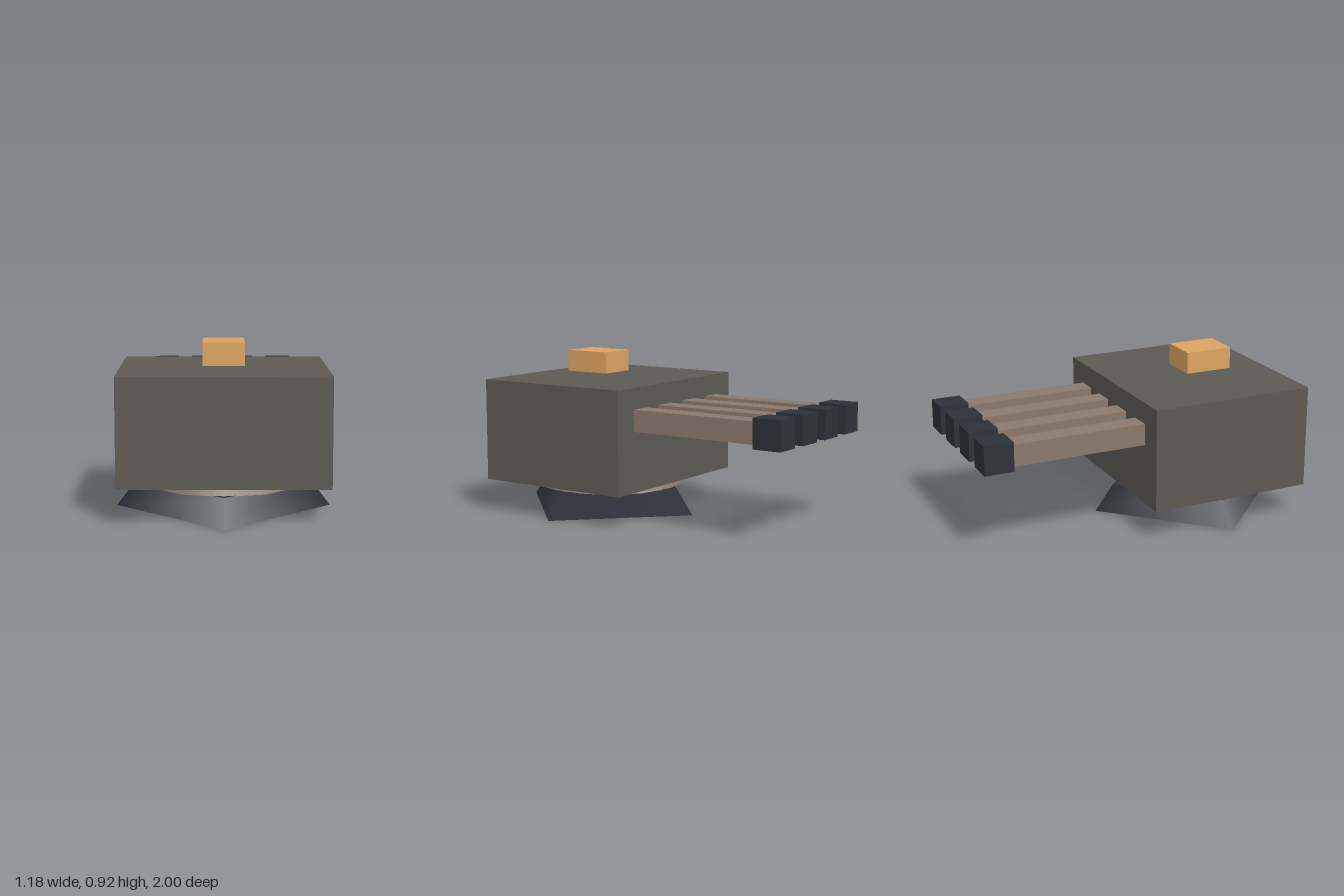
import * as THREE from 'three';

const mat = (color) => new THREE.MeshStandardMaterial({ color });

export function createModel() {
  const model = new THREE.Group();
  const dark = mat(0x2e313a);
  const brown = mat(0x8b796d);
  const hull = mat(0x5d5a54);
  const amber = mat(0xdca560);

  const add = (name, geometry, material, x, y, z) => {
    const mesh = new THREE.Mesh(geometry, material);
    mesh.name = name;
    mesh.position.set(x, y, z);
    model.add(mesh);
    return mesh;
  };

  const cz = 0.412; // turret axis

  // Four-sided tapered foot, corners on the axes
  add('base', new THREE.CylinderGeometry(0.48, 0.588, 0.143, 4), dark, 0, 0.0715, cz);

  // Twelve-sided turntable between foot and housing
  add('turntable', new THREE.CylinderGeometry(0.417, 0.437, 0.048, 12), brown, 0, 0.164, cz);

  // Main housing and the sensor block hovering above it
  add('housing', new THREE.BoxGeometry(1.12, 0.587, 0.953), hull, 0, 0.4795, cz);
  add('sensor', new THREE.BoxGeometry(0.223, 0.124, 0.278), amber, 0, 0.86, 0.498);

  // Row of four barrels with muzzle blocks at the back
  const barrel = new THREE.BoxGeometry(0.119, 0.123, 0.8);
  const muzzle = new THREE.BoxGeometry(0.152, 0.166, 0.166);
  for (let i = 0; i < 4; i++) {
    const x = (i - 1.5) * 0.238;
    add(`barrel${i + 1}`, barrel, brown, x, 0.592, -0.45);
    add(`muzzle${i + 1}`, muzzle, dark, x, 0.592, -0.917);
  }

  return model;
}
